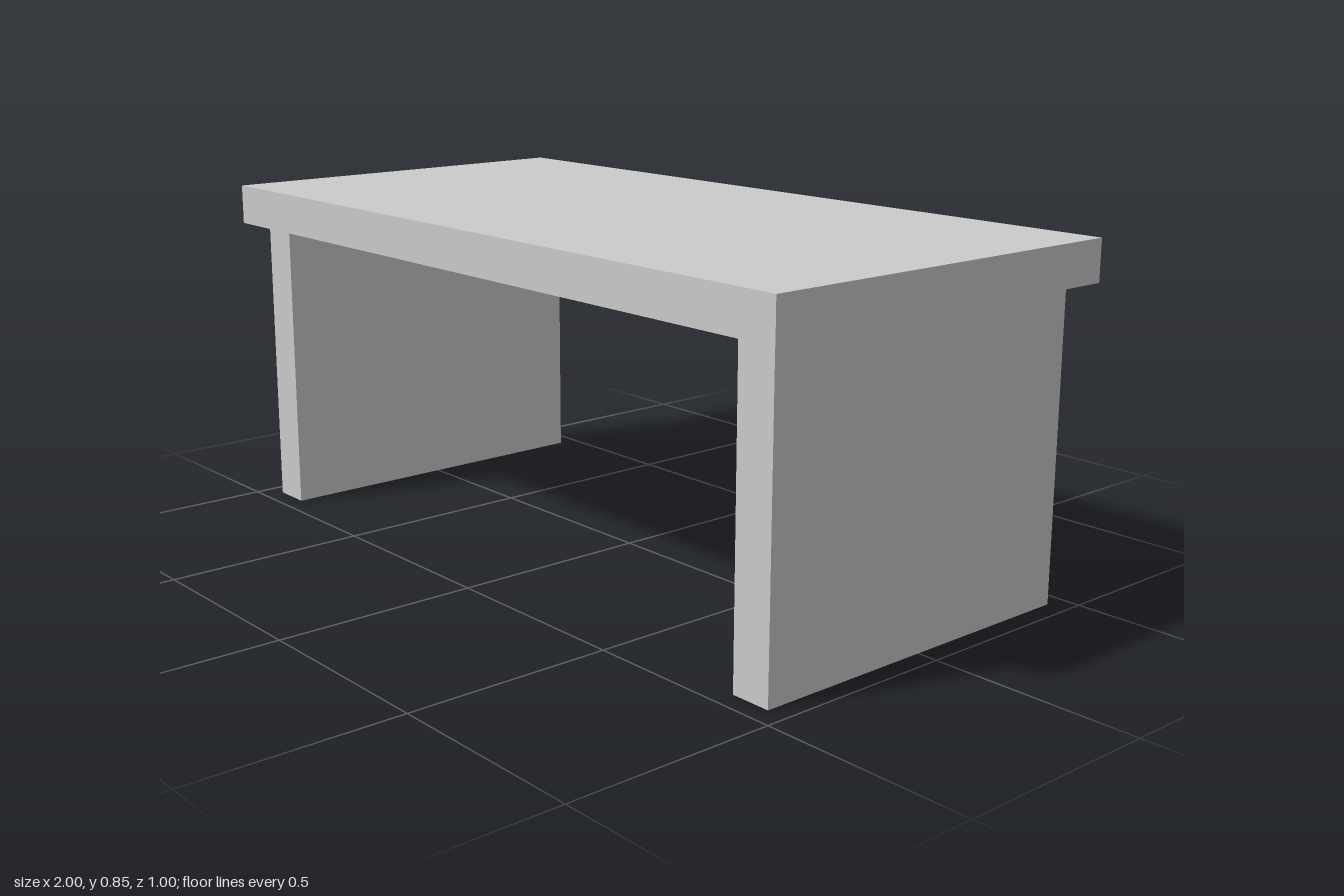
import * as THREE from 'three';

export function createModel() {
  const group = new THREE.Group();
  group.name = 'table';
  const material = new THREE.MeshStandardMaterial({ color: 0xcccccc });

  const addBox = (name, [w, h, d], [x, y, z]) => {
    const mesh = new THREE.Mesh(new THREE.BoxGeometry(w, h, d), material);
    mesh.name = name;
    mesh.position.set(x, y, z);
    group.add(mesh);
  };

  // Overhanging slab top
  addBox('tableTop', [2, 0.1, 1], [0, 0.8, 0]);

  // Panel legs, mirrored left and right
  for (const [name, side] of [['leftLeg', 1], ['rightLeg', -1]]) {
    addBox(name, [0.1, 0.75, 0.9], [side * 0.9, 0.375, 0]);
  }

  return group;
}
